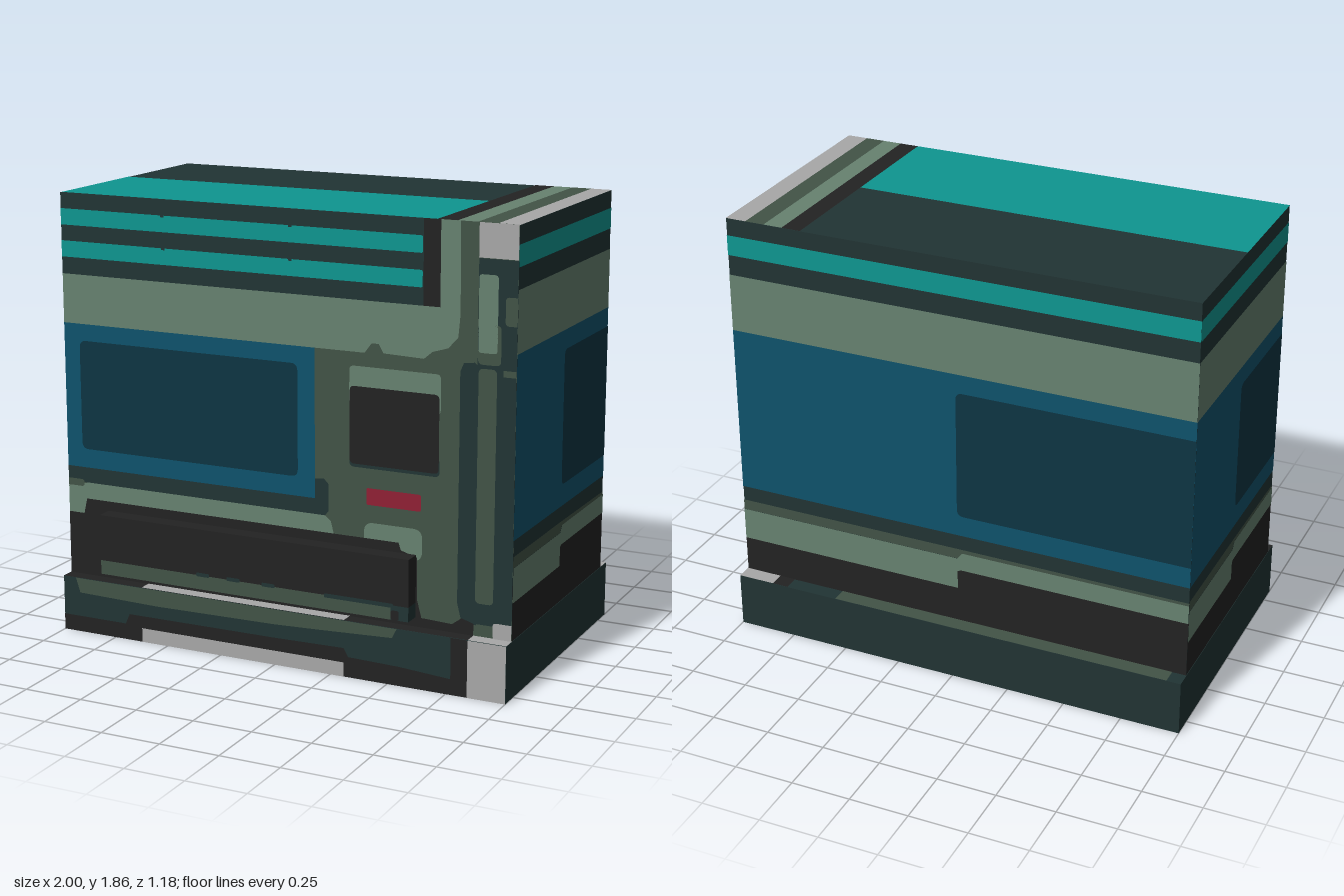
import * as THREE from 'three';

const mat = (name, color, roughness) => {
  const m = new THREE.MeshStandardMaterial({ color });
  m.name = name;
  return m;
};

export function createModel() {
  const M = {
    dark: mat('darkSlate', 0x213434), teal: mat('brightTeal', 0x0e9690),
    black: mat('black', 0x232323), sage: mat('sageGreen', 0x678270),
    olive: mat('oliveGreen', 0x425346), blue: mat('blue', 0x0e526c),
    navy: mat('darkBlue', 0x0d3543), grey: mat('lightGrey', 0xa8a8a8),
    red: mat('red', 0x902034),
  };
  const root = new THREE.Group();
  root.name = 'cabinet';
  const H = 1.855, BASE = 0.235, Z = 0.52, STEP = 0.0012;

  const box = (name, m, x0, x1, y0, y1, z0, z1) => {
    const mesh = new THREE.Mesh(new THREE.BoxGeometry(x1 - x0, y1 - y0, z1 - z0), m);
    mesh.position.set((x0 + x1) / 2, (y0 + y1) / 2, (z0 + z1) / 2);
    mesh.name = name;
    root.add(mesh);
    return mesh;
  };

  // A painted face: flat plates laid over each other, layer by layer, facing local +z
  const face = (name) => {
    const g = new THREE.Group();
    g.name = name;
    root.add(g);
    const add = (label, m, shape, layer) => {
      const mesh = new THREE.Mesh(new THREE.ShapeGeometry(shape, 5), m);
      mesh.position.z = layer * STEP;
      mesh.name = label;
      g.add(mesh);
    };
    return {
      g,
      poly: (label, m, layer, pts) =>
        add(label, m, new THREE.Shape(pts.map(([x, y]) => new THREE.Vector2(x, y))), layer),
      // r is one radius, or radii for [left corners, right corners]
      rect: (label, m, layer, x0, x1, y0, y1, r = 0) => {
        const [a, b] = Array.isArray(r) ? r : [r, r];
        const s = new THREE.Shape();
        s.moveTo(x0 + a, y0);
        s.lineTo(x1 - b, y0);
        if (b) s.quadraticCurveTo(x1, y0, x1, y0 + b);
        s.lineTo(x1, y1 - b);
        if (b) s.quadraticCurveTo(x1, y1, x1 - b, y1);
        s.lineTo(x0 + a, y1);
        if (a) s.quadraticCurveTo(x0, y1, x0, y1 - a);
        s.lineTo(x0, y0 + a);
        if (a) s.quadraticCurveTo(x0, y0, x0 + a, y0);
        add(label, m, s, layer);
      },
    };
  };

  // Solid volumes
  box('body', M.dark, -0.997, 0.997, BASE - 0.01, H - 0.003, -Z, Z);
  box('base', M.dark, -1, 1, 0, BASE, -0.588, 0.58);

  // Right, back and left walls share one banded pattern with a window on the far half
  const wall = (name, w) => {
    const f = face(name);
    f.rect('lowerBand', M.black, 1, -w, w, BASE, 0.48);
    f.poly('sageStep', M.sage, 2, [[-w, 0.39], [0, 0.39], [0, 0.47], [0.015, 0.477], [w, 0.477],
      [w, 0.558], [0.02, 0.558], [0, 0.53], [-w, 0.53]]);
    f.poly('oliveStep', M.olive, 1, [[-w, 0.53], [0, 0.53], [0.02, 0.556], [w, 0.556],
      [w, 0.57], [0, 0.575], [-w, 0.575]]);
    f.rect('bluePanel', M.blue, 1, -w, w, 0.64, 1.365);
    f.rect('window', M.navy, 2, 0, w, 0.73, 1.285, [0.03, 0]);
    f.rect('sageBand', M.sage, 1, -w, w, 1.365, 1.61);
    f.rect('tealStripe', M.teal, 1, -w, w, 1.695, 1.78);
    return f.g;
  };
  for (const s of [1, -1]) {
    const side = wall(s > 0 ? 'leftWall' : 'rightWall', Z);
    side.rotation.y = s * Math.PI / 2;
    side.position.x = s * 0.997;
  }
  const back = wall('backWall', 0.998);
  back.rotation.y = Math.PI;
  back.position.z = -Z;

  // Roof, local y runs toward the back
  const roof = face('roof');
  roof.g.rotation.x = -Math.PI / 2;
  roof.g.position.y = H - 0.003;
  roof.rect('tealRoof', M.teal, 1, -0.998, 0.665, -Z, 0.01);
  [['black', 0.665, 0.747], ['sage', 0.747, 0.828], ['olive', 0.828, 0.91], ['grey', 0.91, 0.998]]
    .forEach(([c, a, b]) => roof.rect(c + 'RoofStripe', M[c], 1, a, b, -Z, Z));

  // Upper ledges of the base
  const ledge = face('baseLedge');
  ledge.g.rotation.x = -Math.PI / 2;
  ledge.g.position.y = BASE;
  ledge.rect('frontLedge', M.black, 1, -1, 0.84, -0.58, -Z);
  ledge.rect('frontLedgeStrip', M.grey, 2, -0.62, 0.31, -0.58, -Z);
  ledge.rect('backLedgeOlive', M.olive, 1, -0.94, 0.54, Z, 0.588);
  ledge.rect('backLedgeBlack', M.black, 1, 0.77, 0.84, Z, 0.588);
  ledge.rect('ledgeCorner', M.grey, 1, 0.84, 1, -0.58, -Z);
  ledge.rect('ledgeCorner', M.grey, 1, 0.84, 1, Z, 0.588);

  // Front of the base
  const bf = face('baseFront');
  bf.g.position.z = 0.58;
  bf.poly('blackTrim', M.black, 1, [[-1, 0], [0.84, 0], [0.84, BASE], [0.77, BASE], [0.77, 0.065],
    [0.55, 0.08], [0.33, 0.085], [0.31, 0.12], [0, 0.115], [-0.68, 0.112], [-0.7, 0.068], [-1, 0.068]]);
  bf.poly('oliveTrim', M.olive, 1, [[-0.94, BASE], [-0.92, 0.172], [-0.55, 0.165], [0, 0.172],
    [0.2, 0.18], [0.52, 0.195], [0.54, BASE]]);
  bf.rect('footStrip', M.grey, 2, -0.62, 0.31, 0, 0.06);
  bf.rect('footCorner', M.grey, 2, 0.84, 1, 0, BASE);

  // Front of the body
  const f = face('frontPanel');
  f.g.position.z = Z;
  f.rect('oliveGround', M.olive, 1, -0.998, 0.998, BASE, H);
  // Marquee with two stripes
  f.rect('marquee', M.dark, 2, -0.998, 0.615, 1.52, H);
  f.rect('marqueeEdge', M.black, 2, 0.615, 0.685, 1.52, H);
  for (const y of [1.59, 1.722]) {
    f.rect('marqueeStripe', M.teal, 3, -0.998, 0.612, y, y + 0.067, [0, 0.008]);
    for (const x of [-0.52, 0.05]) f.rect('stripeNotch', M.dark, 4, x - 0.008, x + 0.008, y + 0.06, y + 0.068);
  }
  f.poly('sageFrame', M.sage, 2, [[-0.998, 1.315], [0.37, 1.315], [0.4, 1.355], [0.43, 1.355], [0.45, 1.32],
    [0.62, 1.315], [0.655, 1.345], [0.72, 1.365], [0.76, 1.41], [0.768, 1.5], [0.765, H], [0.685, H],
    [0.685, 1.52], [-0.998, 1.52]]);
  // Main display
  f.rect('displayFrame', M.blue, 2, -0.998, 0.155, 0.705, 1.315);
  f.rect('display', M.navy, 3, -0.925, 0.08, 0.785, 1.245, 0.03);
  f.poly('displayShadowTrim', M.dark, 2, [[-0.998, 0.64], [0.2, 0.64], [0.215, 0.66], [0.215, 0.77],
    [0.195, 0.79], [0.155, 0.785], [0.155, 0.705], [-0.998, 0.705]]);
  f.poly('sageShelf', M.sage, 2, [[-0.998, 0.5], [-0.9, 0.5], [-0.9, 0.56], [0.24, 0.56], [0.225, 0.62],
    [0.2, 0.64], [-0.9, 0.64], [-0.998, 0.62]]);
  f.rect('shelfMark', M.olive, 3, -0.998, -0.92, 0.622, 0.652, [0, 0.015]);
  f.rect('sageCap', M.sage, 2, 0.37, 0.62, 0.505, 0.635, 0.04);
  // Black surround behind the tray
  f.poly('traySurround', M.black, 3, [[-0.998, BASE], [0.84, BASE], [0.84, 0.285], [0.79, 0.3], [0.75, 0.27],
    [0.62, 0.275], [0.6, 0.35], [0.6, 0.52], [0.53, 0.54], [0.52, 0.57], [-0.91, 0.57], [-0.925, 0.505], [-0.998, 0.505]]);
  // Small screen and red button
  f.rect('screenTop', M.sage, 2, 0.305, 0.692, 1.1, 1.26, 0.02);
  f.rect('screenBottom', M.dark, 3, 0.307, 0.69, 0.855, 0.93, 0.02);
  f.rect('smallScreen', M.black, 4, 0.308, 0.687, 0.868, 1.18, 0.02);
  f.rect('redButton', M.red, 2, 0.38, 0.613, 0.707, 0.775, 0.008);
  // Right hand column
  f.poly('columnLeft', M.dark, 2, [[0.79, 0.28], [0.85, 0.28], [0.85, 1.3], [0.83, 1.32], [0.785, 1.315],
    [0.77, 1.28], [0.77, 0.36]]);
  f.rect('column', M.dark, 2, 0.84, 0.998, 0.285, 1.72);
  f.rect('columnSage', M.sage, 3, 0.842, 0.92, 1.36, 1.66, 0.015);
  f.rect('columnOliveUpper', M.olive, 3, 0.842, 0.935, 1.315, 1.47, 0.02);
  f.rect('columnOlive', M.olive, 3, 0.845, 0.92, 0.37, 1.3, 0.02);
  f.rect('columnEdgeMark', M.olive, 3, 0.945, 0.998, 1.275, 1.3);
  f.rect('columnEdgeBlock', M.olive, 3, 0.95, 0.998, 1.47, 1.58, [0.015, 0]);
  f.rect('columnTop', M.grey, 3, 0.84, 0.998, 1.722, H);
  f.rect('columnFoot', M.grey, 4, 0.92, 0.998, BASE, 0.3, [0.015, 0]);

  // Projecting tray with an olive lower lip
  box('tray', M.black, -0.805, 0.595, 0.335, 0.53, Z, 0.594);
  box('trayLip', M.olive, -0.805, 0.52, 0.275, 0.335, Z, 0.594);
  box('trayLipEnd', M.dark, 0.52, 0.595, 0.275, 0.335, Z, 0.594);
  const tf = face('trayFront');
  tf.g.position.z = 0.594;
  for (const x of [-0.32, -0.18, -0.02]) tf.rect('trayNotch', M.dark, 1, x - 0.03, x + 0.03, 0.33, 0.346, 0.006);
  tf.rect('trayNotchLong', M.dark, 1, 0.23, 0.53, 0.325, 0.342, 0.006);
  tf.rect('trayFoot', M.black, 1, 0.52, 0.555, 0.275, 0.315, 0.01);

  return root;
}
